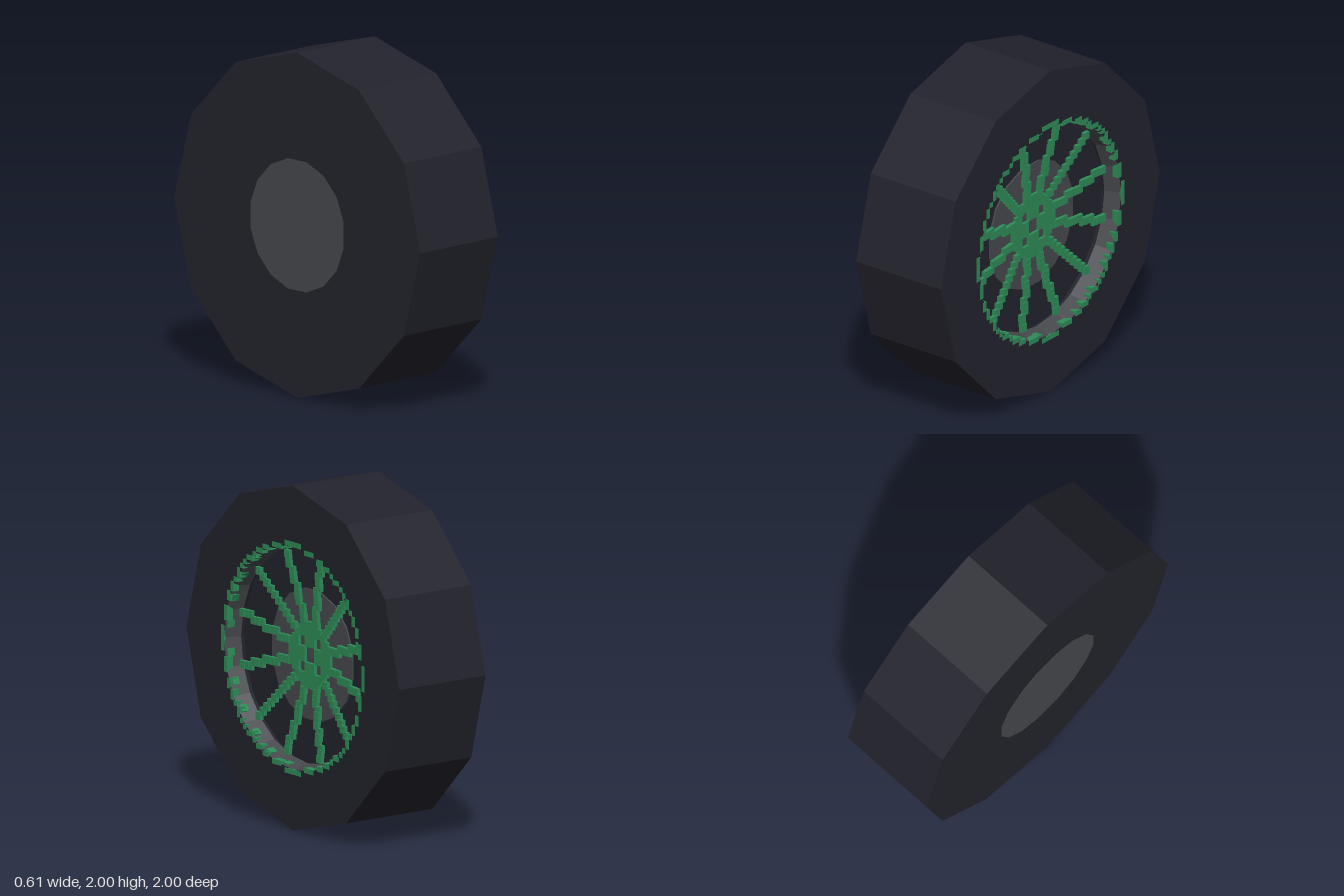
import * as THREE from 'three';
import { mergeGeometries } from 'three/addons/utils/BufferGeometryUtils.js';

const HALF = 0.305;   // half width of the wheel
const FLOOR = 0.16;   // x of the recess floor
const CELL = 0.03;    // step of the blocky spokes

const mat = (name, color) => {
  const m = new THREE.MeshStandardMaterial({ color });
  m.name = name;
  return m;
};

// Regular polygon outline with a corner at the top
function polygon(r, n, Kind = THREE.Shape, turn = 0) {
  const pts = [];
  for (let i = 0; i < n; i++) {
    const a = Math.PI / 2 + turn + (i / n) * Math.PI * 2;
    pts.push(new THREE.Vector2(r * Math.cos(a), r * Math.sin(a)));
  }
  return new Kind(pts);
}

// Extrude a shape along x between two positions
function slab(shape, x0, x1) {
  const g = new THREE.ExtrudeGeometry(shape, { depth: x1 - x0, bevelEnabled: false });
  return g.rotateY(Math.PI / 2).translate(x0, 0, 0);
}

const block = (x, y, z, w, s) => new THREE.BoxGeometry(w, s, s).translate(x, y, z);
const snap = (v) => Math.round(v / CELL) * CELL;

export function createModel() {
  const rubber = mat('dark rubber', 0x22222c);
  const metal = mat('grey metal', 0x46484c);
  const green = mat('green', 0x2e8b57);
  metal.flatShading = rubber.flatShading = green.flatShading = true;

  const wheel = new THREE.Group();
  wheel.name = 'wheel';
  wheel.position.y = 1;
  const add = (name, geometry, material) => {
    const m = new THREE.Mesh(geometry, material);
    m.name = name;
    wheel.add(m);
  };

  // Twelve-sided tyre: solid inner part and an outer ring around the recess
  add('tyreBody', slab(polygon(1, 12), -HALF, FLOOR), rubber);
  const ringShape = polygon(1, 12);
  ringShape.holes.push(polygon(0.65, 24, THREE.Path));
  add('tyreSidewall', slab(ringShape, FLOOR, HALF), rubber);

  // Hub passing through to the inner side
  add('hub', slab(polygon(0.385, 16, THREE.Shape, Math.PI / 16), -HALF - 0.002, FLOOR + 0.01), metal);

  // Slightly tapered rim lining, facing inwards
  const rim = new THREE.CylinderGeometry(0.648, 0.622, 0.1, 24, 1, true);
  rim.rotateZ(-Math.PI / 2).translate(HALF - 0.052, 0, 0);
  const lining = metal.clone();
  lining.side = THREE.DoubleSide;
  add('rimLining', rim, lining);

  // Blocky green rim edge
  const edge = [];
  for (let i = -23; i <= 23; i++) {
    for (let j = -23; j <= 23; j++) {
      const r = Math.hypot(i, j) * CELL;
      if (r > 0.638 && r < 0.664) edge.push(block(HALF - 0.018, i * CELL, j * CELL, 0.04, CELL));
    }
  }
  add('rimEdge', mergeGeometries(edge), green);

  // Green bars on one half of the rim lining
  const bars = [];
  for (let i = 0; i < 12; i++) {
    const bar = new THREE.BoxGeometry(0.09, 0.045, 0.008);
    bar.translate(HALF - 0.055, 0, 0.632).rotateX(((i - 5.5) / 12) * Math.PI);
    bars.push(bar);
  }
  add('rimBars', mergeGeometries(bars), green);

  // Twelve stepped spokes, dished towards the hub
  const spokes = [];
  for (let k = 0; k < 12; k++) {
    const a = ((k + 0.5) * Math.PI) / 6;
    for (let r = 0.18; r <= 0.61; r += 0.025) {
      const x = 0.178 + 0.05 * ((r - 0.18) / 0.43);
      spokes.push(block(x, snap(r * Math.cos(a)), snap(r * Math.sin(a)), 0.02, 0.045));
    }
  }
  add('spokes', mergeGeometries(spokes), green);

  // Centre plate with a square middle hole and four bolt holes
  const plate = [];
  for (let i = -6; i <= 6; i++) {
    for (let j = -6; j <= 6; j++) {
      const u = Math.abs(i), v = Math.abs(j);
      const middle = u <= 1 && v <= 1;
      const bolt = (u === 2 || u === 3) && (v === 2 || v === 3);
      if (Math.hypot(i, j) < 6.4 && !middle && !bolt) plate.push(block(0.178, i * CELL, j * CELL, 0.02, CELL));
    }
  }
  add('centrePlate', mergeGeometries(plate), green);

  const model = new THREE.Group();
  model.name = 'spokedWheel';
  model.add(wheel);
  return model;
}
